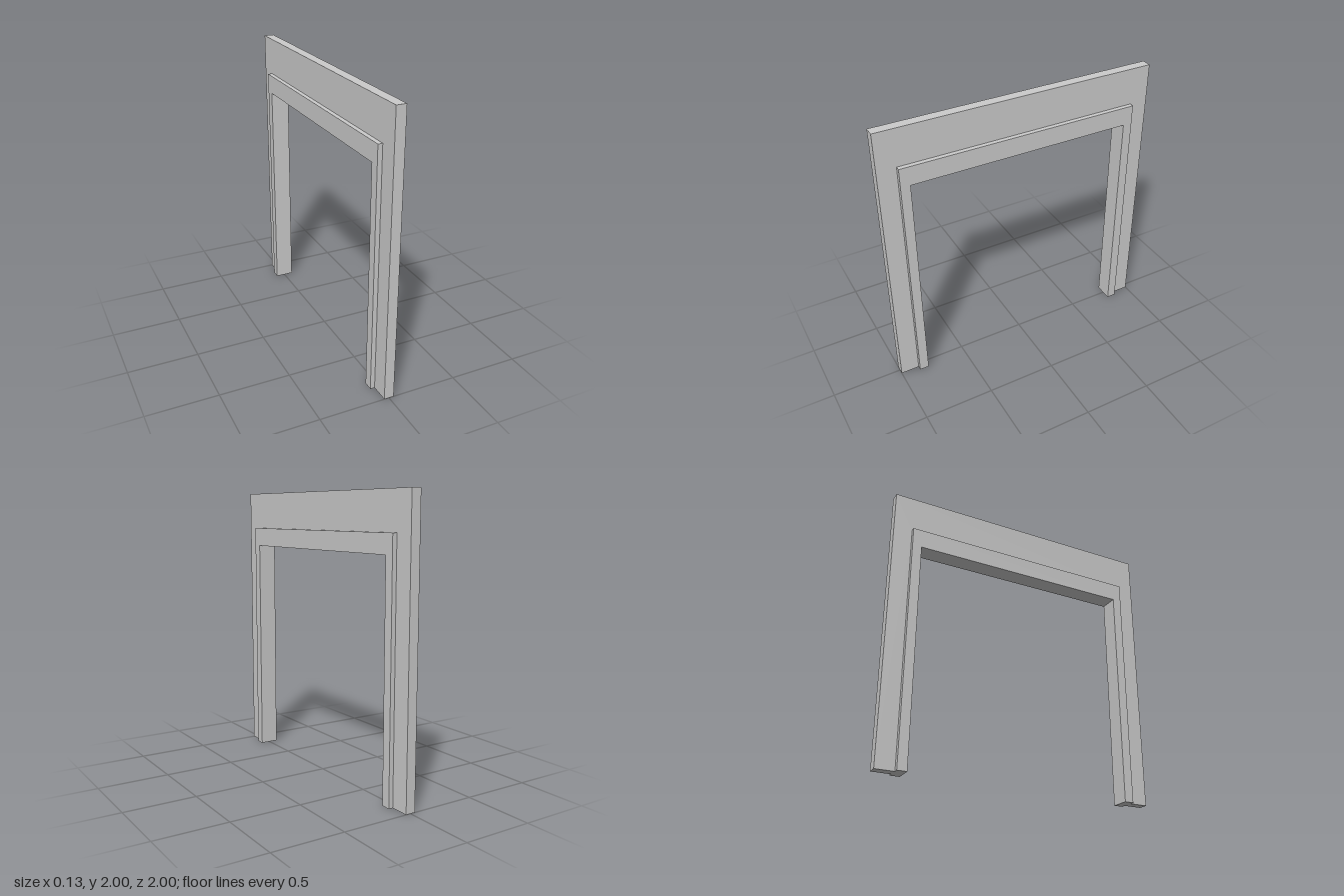
import * as THREE from 'three';

const material = new THREE.MeshStandardMaterial({ color: 0xcccccc, flatShading: true });

// Upside-down U standing on the ground, extruded to a depth centred on x = 0
function portal(name, outerHalf, outerTop, innerHalf, innerTop, depth) {
  const shape = new THREE.Shape([
    [-outerHalf, 0], [-innerHalf, 0], [-innerHalf, innerTop], [innerHalf, innerTop],
    [innerHalf, 0], [outerHalf, 0], [outerHalf, outerTop], [-outerHalf, outerTop],
  ].map(([x, y]) => new THREE.Vector2(x, y)));
  const geometry = new THREE.ExtrudeGeometry(shape, { depth, bevelEnabled: false });
  geometry.translate(0, 0, -depth / 2).rotateY(Math.PI / 2);
  const mesh = new THREE.Mesh(geometry, material);
  mesh.name = name;
  return mesh;
}

export function createModel() {
  const group = new THREE.Group();
  group.name = 'doorway';
  // Thin wall surround, fitted around the casing
  group.add(portal('wallSurround', 1, 2, 0.867, 1.735, 0.07));
  // Thicker casing that lines the opening and stands proud on both sides
  group.add(portal('doorCasing', 0.867, 1.735, 0.8, 1.6, 0.134));
  return group;
}
